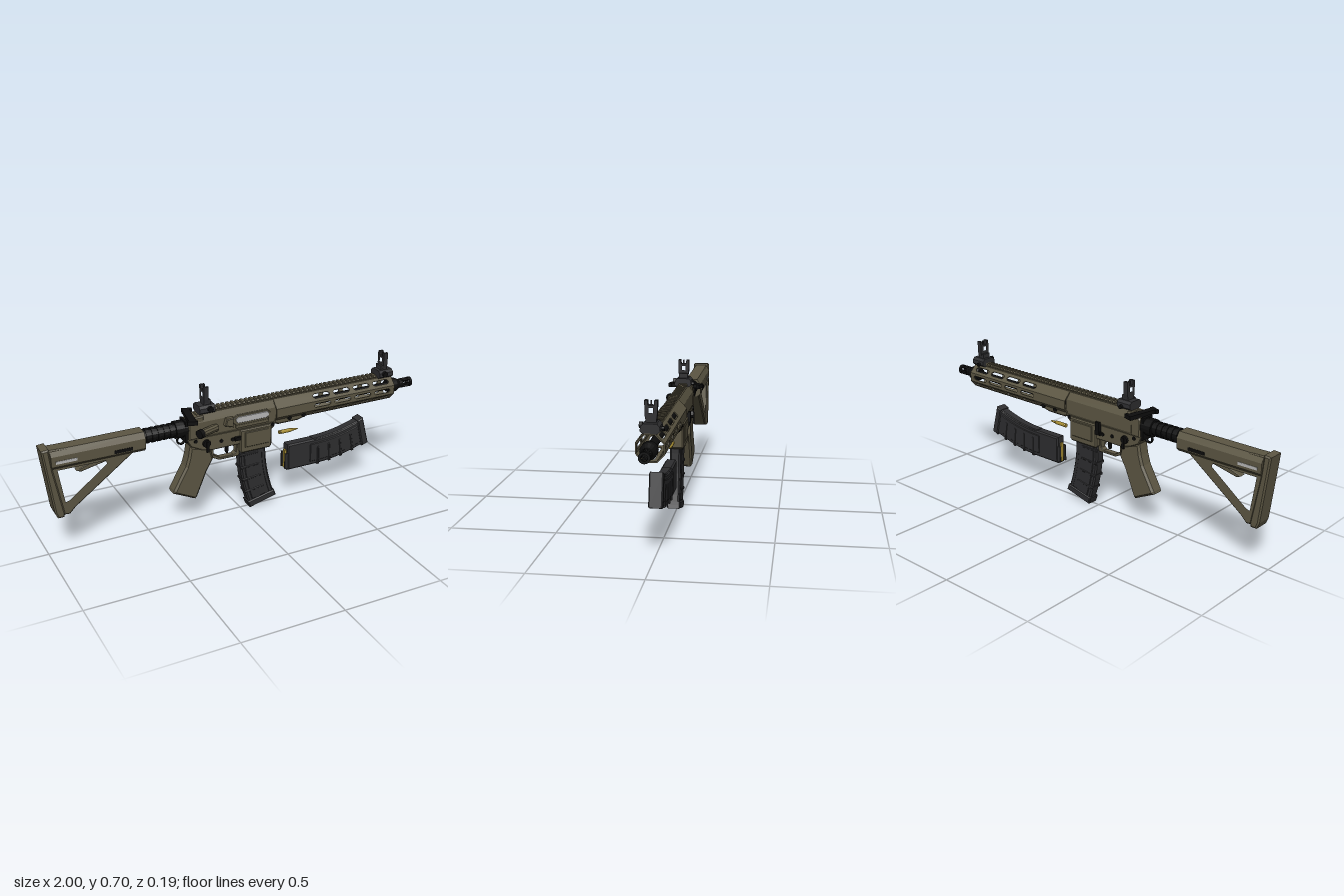
import * as THREE from 'three';

const mat = (color) => new THREE.MeshStandardMaterial({ color, flatShading: true });
const tan = mat(0x5c5643), dark = mat(0x2e2e30), black = mat(0x0d0d0d);
const steel = mat(0xb8b8b8), brass = mat(0xa58c32);

const V2 = (pts) => pts.map(([x, y]) => new THREE.Vector2(x, y));
function makeShape(pts, holes = []) {
  const s = new THREE.Shape(V2(pts));
  holes.forEach((h) => s.holes.push(new THREE.Path(V2(h))));
  return s;
}
function add(parent, name, geo, material, x = 0, y = 0, z = 0) {
  const m = new THREE.Mesh(geo, material);
  m.name = name;
  m.position.set(x, y, z);
  parent.add(m);
  return m;
}
// side profile in x/y, centred on z with half width w and chamfer b
function side(parent, name, pts, w, b, material, holes = [], z = 0) {
  const geo = new THREE.ExtrudeGeometry(makeShape(pts, holes), {
    depth: 2 * (w - b), bevelEnabled: b > 0, bevelSize: b, bevelOffset: -b, bevelThickness: b, bevelSegments: 1,
  });
  geo.translate(0, 0, b - w);
  return add(parent, name, geo, material, 0, 0, z);
}
// cross-section in z/y, running along x from x0 to x1
function alongX(parent, name, pts, x0, x1, material, holes = []) {
  const flip = (p) => p.map(([z, y]) => [-z, y]);
  const geo = new THREE.ExtrudeGeometry(makeShape(flip(pts), holes.map(flip)), { depth: x1 - x0, bevelEnabled: false });
  geo.rotateY(Math.PI / 2);
  return add(parent, name, geo, material, x0);
}
const mirror = (half) => [...half, ...half.map(([z, y]) => [-z, y]).reverse()];
const box = (p, name, w, h, d, x, y, z, m) => add(p, name, new THREE.BoxGeometry(w, h, d), m, x, y, z);
// lathe about the x axis from [x, radius] pairs
function turned(parent, name, pts, y, material, n = 16) {
  const geo = new THREE.LatheGeometry(pts.map(([x, r]) => new THREE.Vector2(r, x)), n);
  geo.rotateZ(-Math.PI / 2);
  const m = add(parent, name, geo, material.clone(), 0, y, 0);
  m.material.side = THREE.DoubleSide;
  return m;
}
function pin(parent, name, r, x, y, z, len, m) {
  return add(parent, name, new THREE.CylinderGeometry(r, r, len, 12).rotateX(Math.PI / 2), m, x, y, z);
}
const slot = (x0, x1, v0, v1) => {
  const c = (v1 - v0) * 0.35;
  return [[x0 + c, v0], [x1 - c, v0], [x1, v0 + c], [x1, v1 - c], [x1 - c, v1], [x0 + c, v1], [x0, v1 - c], [x0, v0 + c]];
};

// curved box magazine; feed end at x = 0, floor plate at x = 0.46
function magazine() {
  const g = new THREE.Group();
  const mid = (s) => (s < 0.15 ? 0 : 0.62 * (s - 0.15) ** 2);
  const band = (s0, s1, h0, h1, n = 8) => {
    const lo = [], hi = [];
    for (let i = 0; i <= n; i++) {
      const s = s0 + (s1 - s0) * i / n, t = s < 0.15 ? 0 : Math.atan(1.24 * (s - 0.15)) * 0.7;
      lo.push([s - h0 * Math.sin(t), mid(s) + h0 * Math.cos(t)]);
      hi.push([s - h1 * Math.sin(t), mid(s) + h1 * Math.cos(t)]);
    }
    return [...lo, ...hi.reverse()];
  };
  side(g, 'magazineBody', band(0, 0.44, -0.071, 0.071), 0.026, 0.007, dark);
  side(g, 'magazineSidePanel', band(0.13, 0.425, -0.05, 0.05), 0.029, 0.003, dark);
  side(g, 'magazineSpine', band(0.15, 0.43, 0.055, 0.074), 0.022, 0.004, dark);
  for (let i = 0; i < 4; i++) {
    const s = 0.17 + i * 0.066;
    side(g, 'magazineRib', band(s, s + 0.012, -0.073, 0.03, 1), 0.031, 0.003, dark);
  }
  side(g, 'floorPlate', band(0.428, 0.462, -0.077, 0.077, 2), 0.031, 0.005, dark);
  // top round and feed lips
  box(g, 'topRoundCase', 0.012, 0.1, 0.018, -0.003, -0.012, 0, brass);
  [-1, 1].forEach((k) => box(g, 'feedLip', 0.02, 0.085, 0.008, -0.004, -0.02, k * 0.019, dark));
  return g;
}

// folding sight standing on the rail
function sight(name, x, dir) {
  const g = new THREE.Group();
  g.name = name;
  alongX(g, 'sightClamp', mirror([[0.03, 0.56], [0.042, 0.57], [0.04, 0.59], [0.028, 0.602]]), -0.04, 0.04, dark);
  alongX(g, 'sightLeaf', mirror([[0.02, 0.6], [0.026, 0.63], [0.027, 0.692], [0.014, 0.692], [0.012, 0.672]]), -0.012, 0.012, dark,
    [[[-0.009, 0.64], [0.009, 0.64], [0.009, 0.662], [-0.009, 0.662]]]);
  box(g, 'sightHinge', 0.035, 0.026, 0.044, 0.006 * dir, 0.612, 0, dark);
  box(g, 'sightPost', 0.008, 0.022, 0.006, 0, 0.68, 0, dark);
  pin(g, 'sightKnob', 0.014, 0.012 * dir, 0.585, 0.045, 0.014, black);
  pin(g, 'sightScrew', 0.01, 0.012 * dir, 0.572, -0.047, 0.012, black);
  g.position.x = x;
  return g;
}

export function createModel() {
  const root = new THREE.Group();

  // stock: wide upper body, open triangular frame, butt pad
  const stock = new THREE.Group();
  stock.name = 'stock';
  root.add(stock);
  alongX(stock, 'stockBody', mirror([[0.03, 0.437], [0.048, 0.455], [0.048, 0.505], [0.03, 0.532]]), -0.96, -0.51, tan);
  side(stock, 'stockFrame', [[-0.99, 0.535], [-0.51, 0.522], [-0.51, 0.447], [-0.57, 0.437], [-0.86, 0.225], [-0.89, 0.195], [-0.95, 0.2]],
    0.034, 0.006, tan, [[[-0.938, 0.435], [-0.7, 0.435], [-0.69, 0.41], [-0.885, 0.262], [-0.912, 0.255]]]);
  side(stock, 'buttPad', [[-1, 0.54], [-0.965, 0.543], [-0.955, 0.44], [-0.915, 0.21], [-0.92, 0.19], [-0.95, 0.19], [-0.962, 0.22]],
    0.044, 0.007, tan);
  side(stock, 'adjustmentLever', [[-0.84, 0.4], [-0.82, 0.39], [-0.66, 0.425], [-0.62, 0.445], [-0.72, 0.445]], 0.018, 0.003, tan);
  [-1, 1].forEach((k) => {
    box(stock, 'stockSlot', 0.1, 0.014, 0.004, -0.89, 0.475, k * 0.048, steel);
    box(stock, 'stockSlotDark', 0.09, 0.016, 0.004, -0.62, 0.468, k * 0.048, black);
  });

  // buffer tube with rings, nut and end plate
  const rings = [[-0.52, 0], [-0.52, 0.033]];
  for (let x = -0.5; x < -0.37; x += 0.03) rings.push([x, 0.033], [x, 0.037], [x + 0.018, 0.037], [x + 0.018, 0.033]);
  turned(root, 'bufferTube', [...rings, [-0.35, 0.033], [-0.35, 0.043], [-0.315, 0.043], [-0.315, 0.04], [-0.29, 0.04]], 0.495, black);
  box(root, 'endPlate', 0.014, 0.11, 0.07, -0.298, 0.485, 0, black);
  const loop = add(root, 'slingLoop', new THREE.TorusGeometry(0.02, 0.005, 6, 12), black, -0.315, 0.435, 0);
  loop.scale.z = 1.6;

  // upper receiver
  alongX(root, 'upperReceiver', mirror([[0.035, 0.44], [0.042, 0.455], [0.042, 0.525], [0.022, 0.56]]), -0.24, 0.18, tan);
  side(root, 'receiverRear', [[-0.29, 0.44], [-0.29, 0.53], [-0.27, 0.553], [-0.21, 0.555], [-0.21, 0.44]], 0.04, 0.006, tan);
  side(root, 'portFrame', slot(-0.06, 0.145, 0.47, 0.527), 0.006, 0.002, tan, [], 0.04);
  side(root, 'ejectionPort', slot(-0.045, 0.135, 0.484, 0.517), 0.005, 0.002, steel, [], 0.044);
  box(root, 'dustCover', 0.18, 0.016, 0.012, 0.045, 0.467, 0.043, tan);
  side(root, 'brassDeflector', [[-0.11, 0.49], [-0.065, 0.475], [-0.065, 0.525], [-0.1, 0.525]], 0.014, 0.004, tan, [], 0.052);
  const assist = new THREE.Group();
  assist.name = 'forwardAssist';
  assist.position.set(-0.19, 0.483, 0.056);
  assist.rotation.y = 0.35;
  root.add(assist);
  add(assist, 'assistHousing', new THREE.CylinderGeometry(0.02, 0.02, 0.09, 10).rotateZ(Math.PI / 2), tan);
  add(assist, 'assistButton', new THREE.CylinderGeometry(0.022, 0.022, 0.022, 12).rotateZ(Math.PI / 2), black, -0.058);
  const handle = new THREE.Group();
  handle.name = 'chargingHandle';
  root.add(handle);
  box(handle, 'handleBar', 0.035, 0.02, 0.15, -0.27, 0.547, 0, black).rotation.y = -0.18;
  [-1, 1].forEach((k) => box(handle, 'handleLatch', 0.05, 0.02, 0.016, k > 0 ? -0.285 : -0.25, 0.547, k * 0.074, black).rotation.y = -0.3);

  // lower receiver, magazine well and trigger group
  side(root, 'lowerReceiver', [[-0.3, 0.445], [0.17, 0.445], [0.17, 0.42], [0.15, 0.405], [0.02, 0.365], [-0.17, 0.365], [-0.23, 0.38], [-0.28, 0.405]],
    0.038, 0.004, tan);
  side(root, 'magazineWell', [[-0.02, 0.44], [0.155, 0.44], [0.155, 0.325], [0.145, 0.315], [-0.012, 0.315], [-0.02, 0.325]], 0.044, 0.007, tan);
  [-1, 1].forEach((k) => side(root, 'wellPanel', [[0.005, 0.425], [0.135, 0.425], [0.135, 0.345], [0.005, 0.345]], 0.004, 0.003, tan, [], k * 0.044));
  side(root, 'triggerGuard', [[-0.165, 0.37], [-0.165, 0.315], [-0.12, 0.292], [-0.01, 0.292], [-0.01, 0.37], [-0.025, 0.37], [-0.03, 0.315],
    [-0.045, 0.304], [-0.115, 0.304], [-0.15, 0.325], [-0.15, 0.37]], 0.016, 0.002, tan);
  side(root, 'trigger', [[-0.1, 0.37], [-0.08, 0.345], [-0.08, 0.318], [-0.07, 0.315], [-0.066, 0.345], [-0.072, 0.37]], 0.008, 0, black);
  side(root, 'grip', [[-0.28, 0.405], [-0.175, 0.375], [-0.16, 0.315], [-0.195, 0.255], [-0.25, 0.125], [-0.262, 0.118], [-0.372, 0.172],
    [-0.37, 0.185], [-0.305, 0.3], [-0.29, 0.35]], 0.036, 0.01, tan);
  side(root, 'gripCap', [[-0.252, 0.132], [-0.258, 0.117], [-0.374, 0.172], [-0.366, 0.188]], 0.031, 0.004, tan);
  [-1, 1].forEach((k) => {
    pin(root, 'selector', 0.02, -0.2, 0.41, k * 0.043, 0.014, black);
    box(root, 'selectorLever', 0.014, 0.055, 0.008, -0.197, 0.393, k * 0.05, black);
    [[-0.12, 0.405], [-0.06, 0.4], [-0.255, 0.43], [0.16, 0.435]].forEach(([x, y]) => pin(root, 'receiverPin', 0.009, x, y, k * 0.038, 0.01, black));
    box(root, 'magazineRelease', 0.034, 0.018, 0.016, -0.035, 0.402, k * 0.044, black);
  });
  box(root, 'boltCatch', 0.024, 0.06, 0.016, -0.035, 0.43, -0.046, black);

  // handguard: an octagonal tube of slotted plates
  const guard = new THREE.Group();
  guard.name = 'handguard';
  root.add(guard);
  const ring = mirror([[0.03, 0.44], [0.062, 0.476], [0.062, 0.522], [0.022, 0.562]]);
  ring.forEach((a, i) => {
    const b = ring[(i + 1) % 8], L = Math.hypot(b[0] - a[0], b[1] - a[1]);
    const e = new THREE.Vector3(0, (b[1] - a[1]) / L, (b[0] - a[0]) / L), X = new THREE.Vector3(1, 0, 0);
    const n = X.clone().cross(e), holes = [];
    if (i !== 3) for (let k = 0; k < 4; k++) holes.push(slot(0.385 + k * 0.118, 0.48 + k * 0.118, L * 0.28, L * 0.72));
    const geo = new THREE.ExtrudeGeometry(makeShape([[0.17, 0], [0.86, 0], [0.86, L], [0.17, L]], holes), { depth: 0.006, bevelEnabled: false });
    geo.translate(0, 0, -0.006);
    geo.applyMatrix4(new THREE.Matrix4().makeBasis(X, e, n).setPosition(0, a[1], a[0]));
    add(guard, 'handguardPlate', geo, tan);
  });
  side(guard, 'handguardChin', [[0.165, 0.47], [0.36, 0.47], [0.34, 0.44], [0.3, 0.43], [0.19, 0.43], [0.165, 0.44]], 0.045, 0.008, tan);
  [-1, 1].forEach((k) => [0.25, 0.33].forEach((x) => pin(guard, 'clampScrew', 0.011, x, 0.455, k * 0.045, 0.012, black)));

  // top rail
  box(root, 'railBase', 1.05, 0.012, 0.03, 0.33, 0.562, 0, tan);
  for (let i = 0; i < 42; i++)
    alongX(root, 'railTooth', mirror([[0.016, 0.564], [0.024, 0.57], [0.018, 0.579]]), -0.195 + i * 0.025, -0.181 + i * 0.025, tan);
  root.add(sight('rearSight', -0.19, 1), sight('frontSight', 0.82, -1));

  // barrel, collar and slotted muzzle device
  turned(root, 'barrel', [[0.17, 0.02], [0.85, 0.02], [0.85, 0.03], [0.865, 0.037], [0.9, 0.037], [0.925, 0.024], [0.945, 0.024], [0.945, 0.01]], 0.497, black);
  turned(root, 'muzzleRing', [[0.985, 0.014], [0.985, 0.025], [1, 0.025], [1, 0.014], [0.985, 0.014]], 0.497, black);
  for (let i = 0; i < 6; i++) {
    const a = i * Math.PI / 3;
    box(root, 'muzzleProng', 0.05, 0.009, 0.011, 0.965, 0.497 + 0.02 * Math.sin(a), 0.02 * Math.cos(a), black).rotation.x = -a + Math.PI / 2;
  }

  // fitted magazine, spare magazine and loose round
  const fitted = magazine();
  fitted.name = 'fittedMagazine';
  fitted.position.set(0.057, 0.472, 0);
  fitted.rotation.z = -Math.PI / 2;
  const spare = magazine();
  spare.name = 'spareMagazine';
  spare.position.set(0.258, 0.222, 0);
  root.add(fitted, spare);
  turned(root, 'looseRound', [[0.218, 0], [0.218, 0.01], [0.223, 0.01], [0.225, 0.008], [0.229, 0.01], [0.285, 0.0095], [0.295, 0.006],
    [0.305, 0.006], [0.318, 0.004], [0.33, 0]], 0.363, brass, 12);
  return root;
}
